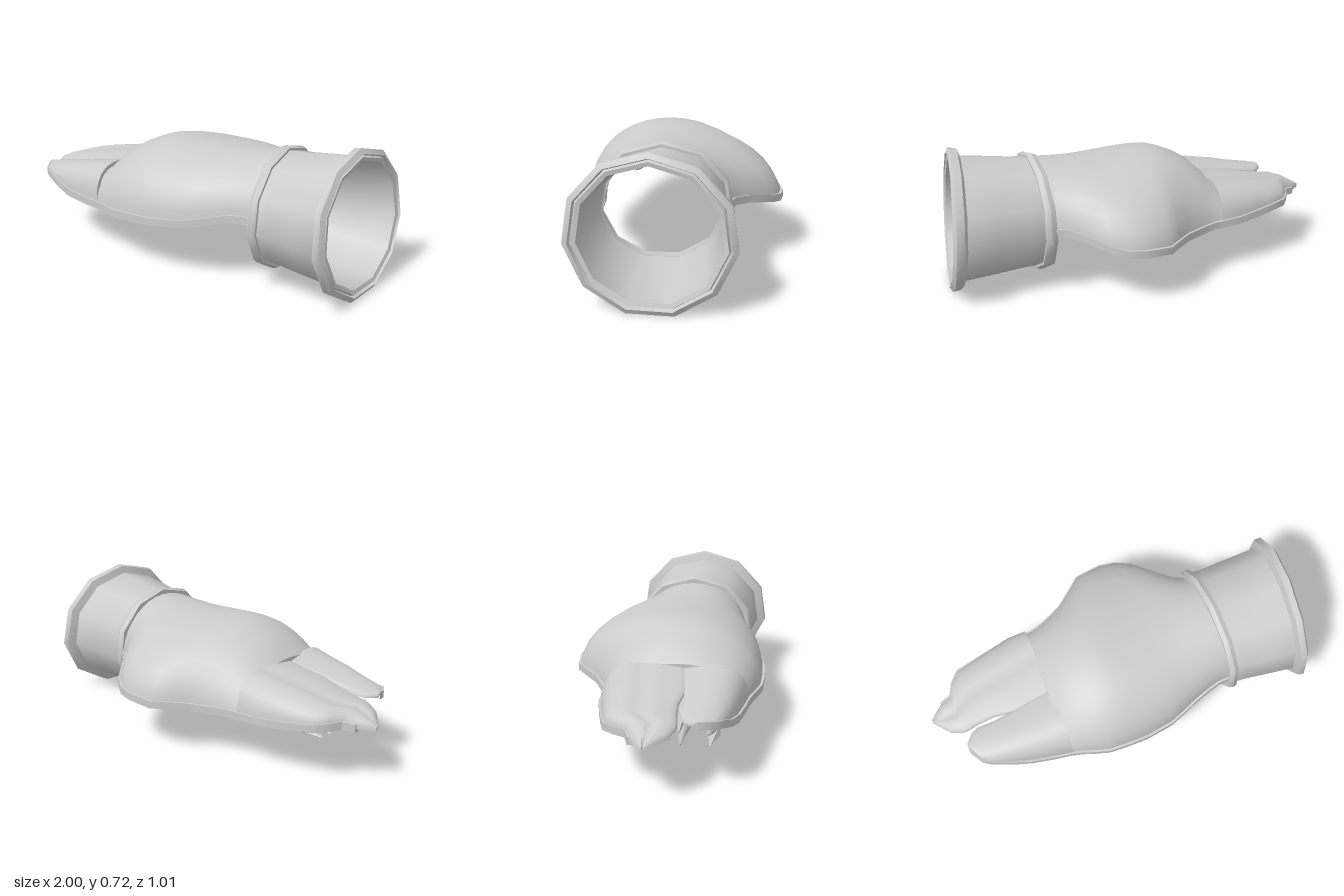
import * as THREE from 'three';
import { toCreasedNormals } from 'three/addons/utils/BufferGeometryUtils.js';

// Skin a row of closed loops running towards -x; end caps join each loop's two halves
function loft(rings, crease = 0.75) {
  const n = rings[0].length, pos = rings.flat(2), idx = [];
  for (let i = 0; i < rings.length - 1; i++) {
    for (let j = 0; j < n; j++) {
      const k = (j + 1) % n, a = i * n + j, b = i * n + k, c = a + n, d = b + n;
      idx.push(a, b, c, b, d, c);
    }
  }
  const e = (rings.length - 1) * n;
  for (let j = 0; j < n / 2 - 1; j++) {
    const p = j, q = j + 1, r = n - 2 - j, s = n - 1 - j;
    idx.push(p, r, q, p, s, r);
    idx.push(e + p, e + q, e + r, e + p, e + r, e + s);
  }
  const g = new THREE.BufferGeometry();
  g.setAttribute('position', new THREE.Float32BufferAttribute(pos, 3));
  g.setIndex(idx);
  return toCreasedNormals(g, crease);
}

// Arched shell section; station = [x, zBack, zFront, yTop, yEdgeBack, yEdgeFront]
// powers = [back, front] set how full each flank is
function archRing([x, z0, z1, top, e0, e1], thick, peak, powers, groove) {
  const steps = 18, outer = [], inner = [];
  const zc = peak ?? (z0 + z1) / 2;
  for (let i = 0; i <= steps; i++) {
    const a = Math.PI * i / steps, c = Math.cos(a);
    const s = Math.pow(Math.max(0, Math.sin(a)), powers[c > 0 ? 1 : 0]);
    const edge = e1 + (e0 - e1) * (1 - c) / 2;
    const dip = groove * Math.exp(-(((a - Math.PI / 2) / 0.22) ** 2));
    const point = t => {
      const half = Math.max(0.004, (c > 0 ? z1 - zc : zc - z0) - t);
      return [x, edge + Math.max(0.004, top - edge - t - dip) * s, zc + half * c];
    };
    outer.push(point(0));
    inner.unshift(point(thick));
  }
  return [...outer, ...inner];
}

const shell = (stations, { thick = 0.025, peak, powers, groove = 0 }) =>
  loft(stations.map(s => archRing(s, Math.min(thick, (s[2] - s[1]) / 4), peak, powers, groove)));

// Rectangular hem following one edge of a row of stations
function hem(stations, front) {
  return loft(stations.map(([x, z0, z1, , e0, e1]) => {
    const z = front ? z1 : z0, y = front ? e1 : e0;
    const [hi, lo] = front ? [z + 0.01, z - 0.022] : [z + 0.022, z - 0.01];
    return [[x, y - 0.014, hi], [x, y + 0.024, hi], [x, y + 0.024, lo], [x, y - 0.014, lo]];
  }), 0.6);
}

// Eleven-sided turned band along x, oval at the wrist, drifting and slanting towards its open end
function band(profile) {
  const g = new THREE.LatheGeometry(profile.map(([r, x]) => new THREE.Vector2(r, x)), 11);
  const p = g.attributes.position;
  for (let i = 0; i < p.count; i++) {
    const x = p.getY(i), t = (x - 0.52) / 0.4;
    const dy = p.getZ(i), dz = p.getX(i) * (1.11 - 0.05 * t);
    p.setXYZ(i, x - t * (0.07 * dy + 0.11 * dz), 0.348 + 0.003 * t + dy, 0.088 + 0.032 * t + dz);
  }
  g.deleteAttribute('uv');
  return toCreasedNormals(g, 0.65);
}

export function createModel() {
  const model = new THREE.Group();
  const leather = new THREE.MeshStandardMaterial({ color: 0xcccccc, side: THREE.DoubleSide });
  leather.name = 'pale grey leather';
  const add = (name, geometry, parent = model) => {
    const m = new THREE.Mesh(geometry, leather);
    m.name = name;
    parent.add(m);
    return m;
  };

  // Cuff with flared, stepped rim
  add('cuff', band([
    [0.26, 0.53], [0.286, 0.53], [0.289, 0.6], [0.306, 0.75], [0.32, 0.89], [0.361, 0.905],
    [0.365, 0.94], [0.34, 0.955], [0.332, 0.935], [0.325, 0.95], [0.305, 0.945],
    [0.285, 0.75], [0.26, 0.53],
  ]));
  // Raised seam around the wrist
  add('wristSeam', band([
    [0.26, 0.495], [0.3, 0.495], [0.309, 0.52], [0.3, 0.545], [0.26, 0.545], [0.26, 0.495],
  ]));

  // Back of the hand with the thumb bulge
  const hand = [
    [0.53, -0.215, 0.385, 0.623, 0.34, 0.355],
    [0.45, -0.25, 0.385, 0.62, 0.34, 0.355],
    [0.38, -0.33, 0.4, 0.613, 0.33, 0.35],
    [0.29, -0.435, 0.425, 0.608, 0.3, 0.325],
    [0.22, -0.48, 0.45, 0.607, 0.285, 0.308],
    [0.14, -0.497, 0.475, 0.608, 0.28, 0.298],
    [0.0, -0.485, 0.49, 0.615, 0.272, 0.285],
    [-0.08, -0.42, 0.488, 0.617, 0.268, 0.282],
    [-0.15, -0.365, 0.484, 0.61, 0.265, 0.28],
    [-0.21, -0.335, 0.478, 0.59, 0.262, 0.276],
    [-0.28, -0.305, 0.455, 0.558, 0.262, 0.274],
    [-0.34, -0.288, 0.432, 0.522, 0.264, 0.272],
    [-0.4, -0.285, 0.415, 0.465, 0.266, 0.272],
  ];
  add('handShell', shell(hand, { peak: 0.08, powers: [1.1, 0.9] }));

  // Finger covers: a wide grooved pair at the back, a shorter one at the front
  const backFingers = [
    [-0.385, -0.285, 0.12, 0.468, 0.266, 0.43],
    [-0.48, -0.287, 0.125, 0.45, 0.272, 0.415],
    [-0.6, -0.262, 0.13, 0.43, 0.28, 0.395],
    [-0.7, -0.238, 0.11, 0.412, 0.29, 0.375],
    [-0.79, -0.215, 0.112, 0.393, 0.3, 0.355],
    [-0.84, -0.16, 0.118, 0.382, 0.305, 0.345],
    [-0.87, -0.1, 0.115, 0.375, 0.305, 0.335],
    [-0.93, -0.08, 0.085, 0.355, 0.3, 0.32],
    [-1.0, -0.025, -0.005, 0.315, 0.295, 0.3],
  ];
  const frontFinger = [
    [-0.385, 0.1, 0.42, 0.465, 0.43, 0.272],
    [-0.48, 0.11, 0.4, 0.447, 0.415, 0.272],
    [-0.6, 0.125, 0.375, 0.427, 0.395, 0.28],
    [-0.7, 0.13, 0.345, 0.405, 0.375, 0.3],
    [-0.79, 0.125, 0.315, 0.39, 0.36, 0.335],
    [-0.83, 0.14, 0.29, 0.382, 0.355, 0.345],
    [-0.87, 0.185, 0.225, 0.375, 0.355, 0.355],
  ];
  const fingerPowers = [0.7, 0.7];
  add('backFingers', shell(backFingers, { thick: 0.02, powers: fingerPowers, groove: 0.012 }));
  add('frontFinger', shell(frontFinger, { thick: 0.02, powers: fingerPowers }));

  // Hems along both lower edges
  add('frontHem', hem([...hand, ...frontFinger.slice(1)], true));
  add('backHem', hem([...hand, ...backFingers.slice(1, -1)], false));

  // Crumpled lining strips hanging under the fingers
  let seed = 7;
  const rand = () => (seed = (seed * 16807) % 2147483647) / 2147483647;
  const lining = new THREE.Group();
  lining.name = 'fingerLining';
  model.add(lining);
  const clumps = [[0.29, 0.32], [0.13, 0.35], [-0.06, 0.34], [-0.14, 0.33]];
  for (const [z, y] of clumps) {
    for (let k = 0; k < 3; k++) {
      const rings = [], zc = z + (rand() - 0.5) * 0.08, x0 = -0.33 - rand() * 0.1;
      for (let i = 0; i < 5; i++) {
        const r = [0.018, 0.045, 0.042, 0.032, 0.01][i];
        const yc = y + 0.025 - 0.045 * k - 0.014 * i + (rand() - 0.5) * 0.03;
        const ring = [];
        for (let j = 0; j < 6; j++) {
          const a = -j * Math.PI / 3, q = r * (0.6 + 0.7 * rand());
          ring.push([x0 - i * 0.085 + (rand() - 0.5) * 0.03,
            Math.max(0.215, yc - q * Math.sin(a)), zc * (1 - i * 0.04) + q * 0.8 * Math.cos(a)]);
        }
        rings.push(ring);
      }
      add('liningStrip', loft(rings, 0.3), lining);
    }
  }

  return model;
}
